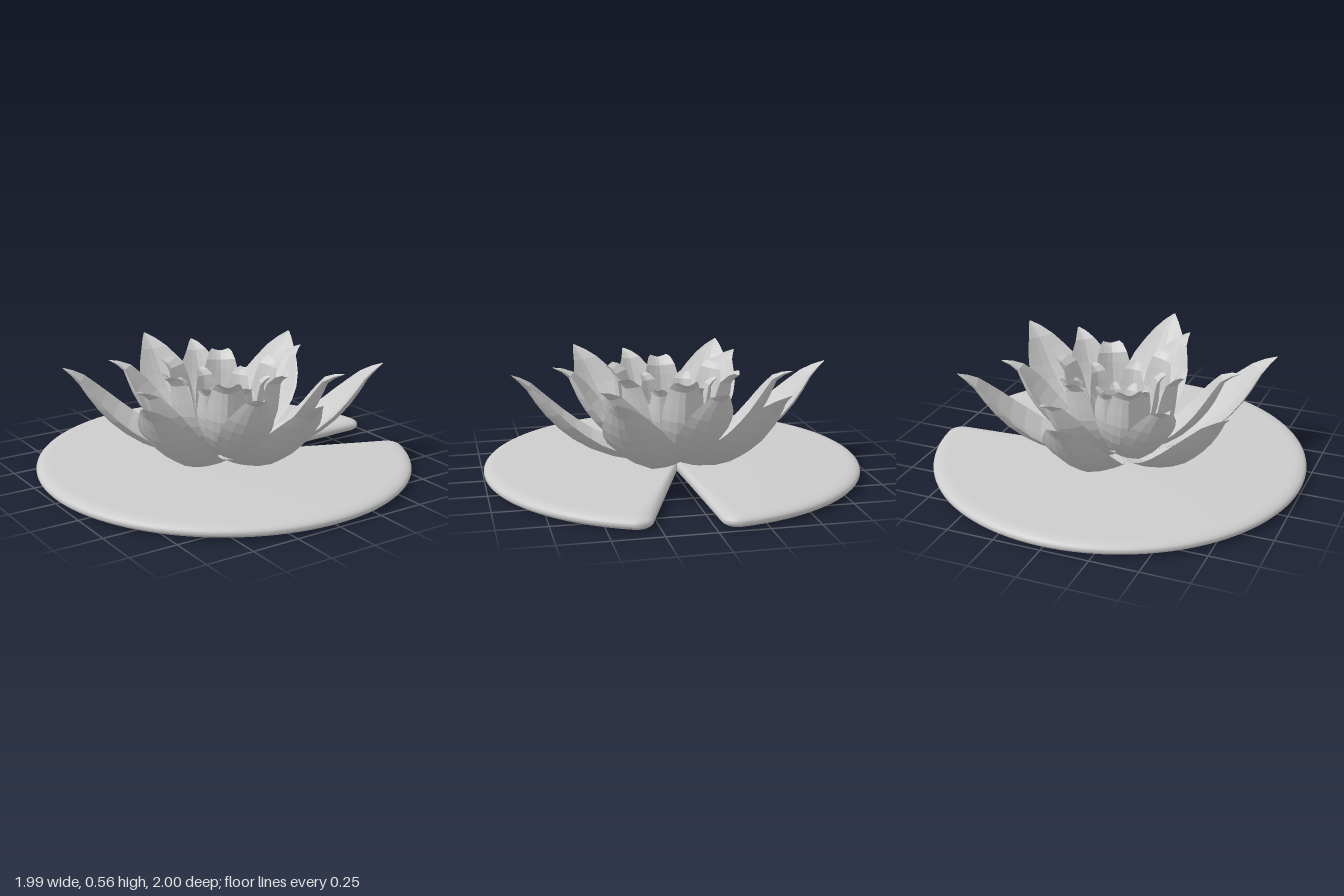
import * as THREE from 'three';
import { toCreasedNormals } from 'three/addons/utils/BufferGeometryUtils.js';

// Petal rings: count, start angle (degrees from +x towards +z), thickness,
// cup depth, and a spine of [radius, height, half width] points from base to tip.
const RINGS = [
  { name: 'outerPetal', count: 6, start: 30, thick: 0.016, cup: 0.33, spine: [
    [0.04, 0.065, 0.045], [0.2, 0.078, 0.12], [0.4, 0.142, 0.17], [0.56, 0.245, 0.185],
    [0.68, 0.37, 0.15], [0.765, 0.49, 0.075], [0.845, 0.56, 0.004]] },
  { name: 'secondPetal', count: 6, start: 46, thick: 0.015, cup: 0.4, spine: [
    [0.03, 0.07, 0.03], [0.16, 0.1, 0.09], [0.31, 0.18, 0.13], [0.43, 0.3, 0.14],
    [0.5, 0.41, 0.115], [0.55, 0.51, 0.05], [0.635, 0.55, 0.004]] },
  { name: 'thirdPetal', count: 6, start: 0, thick: 0.013, cup: 0.45, spine: [
    [0.02, 0.07, 0.02], [0.12, 0.11, 0.06], [0.22, 0.19, 0.1], [0.285, 0.31, 0.11],
    [0.305, 0.42, 0.1], [0.32, 0.51, 0.075], [0.365, 0.545, 0.045]] },
  { name: 'fourthPetal', count: 6, start: 30, thick: 0.012, cup: 0.45, spine: [
    [0.015, 0.07, 0.02], [0.07, 0.11, 0.045], [0.14, 0.19, 0.07], [0.185, 0.29, 0.08],
    [0.2, 0.38, 0.07], [0.21, 0.46, 0.045], [0.245, 0.49, 0.02]] },
  { name: 'fifthPetal', count: 8, start: 10, thick: 0.01, cup: 0.4, spine: [
    [0.01, 0.07, 0.015], [0.06, 0.12, 0.03], [0.105, 0.2, 0.042], [0.125, 0.29, 0.045],
    [0.13, 0.36, 0.036], [0.155, 0.4, 0.012]] },
  { name: 'innerPetal', count: 6, start: 0, thick: 0.008, cup: 0.4, spine: [
    [0.005, 0.07, 0.01], [0.03, 0.12, 0.02], [0.055, 0.2, 0.03], [0.06, 0.27, 0.028],
    [0.055, 0.33, 0.016], [0.07, 0.35, 0.005]] },
];

// Closed, cupped petal lying along +x: creased lens sections swept along the spine
function petalGeometry({ spine, thick, cup }) {
  const curve = new THREE.CatmullRomCurve3(spine.map(p => new THREE.Vector3(...p)));
  const stations = 11, across = 6, loop = across * 2;
  const positions = [], index = [];
  for (let i = 0; i <= stations; i++) {
    const t = i / stations;
    const p = curve.getPoint(t), d = curve.getTangent(t);
    const length = Math.hypot(d.x, d.y);
    const nx = -d.y / length, ny = d.x / length;
    const h = thick * Math.sin(Math.PI * t);
    for (let j = 0; j < loop; j++) {
      const inside = j < across;
      const u = inside ? -1 + 2 * j / across : 3 - 2 * j / across;
      const offset = cup * p.z * Math.abs(u) ** 1.5 + (inside ? 1 : -1) * h * (1 - u * u);
      positions.push(p.x + nx * offset, p.y + ny * offset, p.z * u);
    }
  }
  for (let i = 0; i < stations; i++) {
    for (let j = 0; j < loop; j++) {
      const k = (j + 1) % loop;
      const a = i * loop + j, b = i * loop + k;
      index.push(a, b, a + loop, b, b + loop, a + loop);
    }
  }
  const geometry = new THREE.BufferGeometry();
  geometry.setAttribute('position', new THREE.Float32BufferAttribute(positions, 3));
  geometry.setIndex(index);
  geometry.computeVertexNormals();
  return geometry;
}

// Round leaf with a wedge notch, rounded corners and a thin tapering rim
function padGeometry() {
  const outline = [new THREE.Vector2(0.1, -0.005)];
  const addArc = (cx, cy, radius, from, to, steps, first) => {
    for (let i = first; i <= steps; i++) {
      const a = THREE.MathUtils.degToRad(from + (to - from) * i / steps);
      outline.push(new THREE.Vector2(cx + radius * Math.cos(a), cy + radius * Math.sin(a)));
    }
  };
  addArc(0.913, -0.11, 0.08, 88, -6.9, 12, 0);
  addArc(0, 0, 1, -6.9, 22.6 - 360, 100, 1);
  addArc(0.849, 0.354, 0.08, 22.6, -70, 12, 1);

  const geometry = new THREE.ExtrudeGeometry(new THREE.Shape(outline), {
    depth: 0.004, bevelEnabled: true,
    bevelThickness: 0.031, bevelSize: 0.07, bevelOffset: -0.07, bevelSegments: 6,
  });
  geometry.rotateX(Math.PI / 2);
  geometry.translate(0, 0.039, 0);
  return toCreasedNormals(geometry, 0.8);
}

export function createModel() {
  const model = new THREE.Group();
  model.name = 'waterLily';

  const smoothGrey = new THREE.MeshStandardMaterial({ color: 0xcccccc });
  smoothGrey.name = 'lightGrey';
  // Same grey, faceted for the petals
  const facetedGrey = new THREE.MeshStandardMaterial({ color: 0xcccccc, flatShading: true });
  facetedGrey.name = 'lightGreyFaceted';

  // Floating leaf
  const pad = new THREE.Mesh(padGeometry(), smoothGrey);
  pad.name = 'lilyPad';
  model.add(pad);

  // Flower: nested rings of petals
  const flower = new THREE.Group();
  flower.name = 'flower';
  for (const ring of RINGS) {
    const geometry = petalGeometry(ring);
    for (let i = 0; i < ring.count; i++) {
      const petal = new THREE.Mesh(geometry, facetedGrey);
      petal.name = ring.name;
      petal.rotation.y = -THREE.MathUtils.degToRad(ring.start + i * 360 / ring.count);
      flower.add(petal);
    }
  }
  model.add(flower);
  return model;
}
